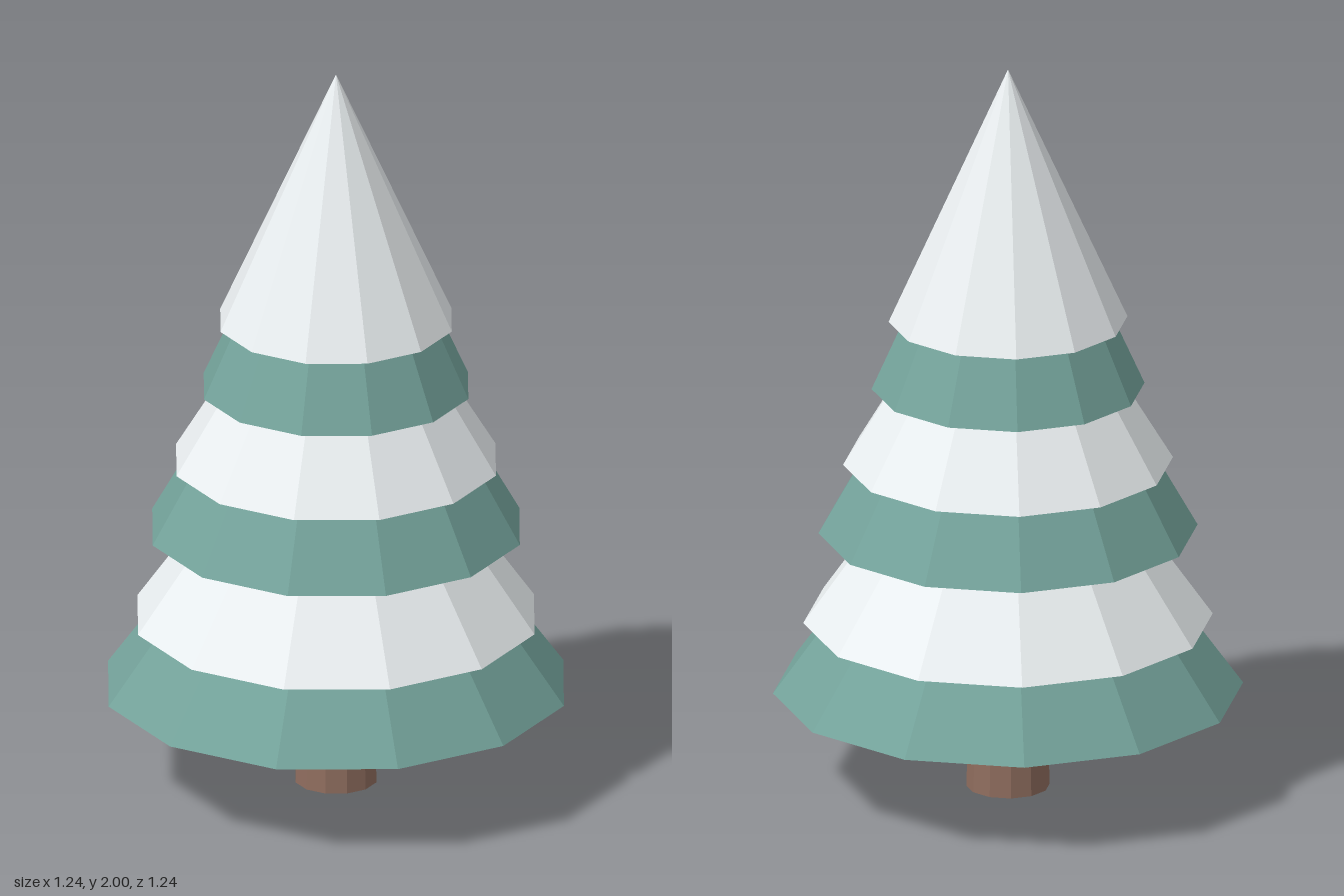
import * as THREE from 'three';

const SIDES = 12;

export function createModel() {
  const tree = new THREE.Group();
  tree.name = 'snowyTree';

  const paint = (color) => new THREE.MeshStandardMaterial({ color, flatShading: true });
  const needles = paint(0x74a39b);
  const snow = paint(0xebf0f2);
  const bark = paint(0x8f6d5e);

  // Closed cone or tapered cylinder spanning y0 to y1
  const addTier = (name, material, radius, y0, y1, topRadius = 0) => {
    const geometry = new THREE.CylinderGeometry(topRadius, radius, y1 - y0, SIDES);
    const mesh = new THREE.Mesh(geometry, material);
    mesh.name = name;
    mesh.position.y = (y0 + y1) / 2;
    tree.add(mesh);
  };

  // Trunk, running a little way into the lowest branches
  addTier('trunk', bark, 0.11, 0, 0.32, 0.1);

  // Branch tiers, each with a snow cap: [radius, base, apex]
  const tiers = [
    { branch: [0.62, 0.27, 1.13], cap: [0.54, 0.465, 1.23] },
    { branch: [0.5, 0.715, 1.6], cap: [0.435, 0.905, 1.62] },
    { branch: [0.36, 1.115, 1.92], cap: [0.315, 1.302, 2] },
  ];
  tiers.forEach(({ branch, cap }, i) => {
    addTier(`branchTier${i + 1}`, needles, ...branch);
    addTier(`snowCap${i + 1}`, snow, ...cap);
  });

  return tree;
}
